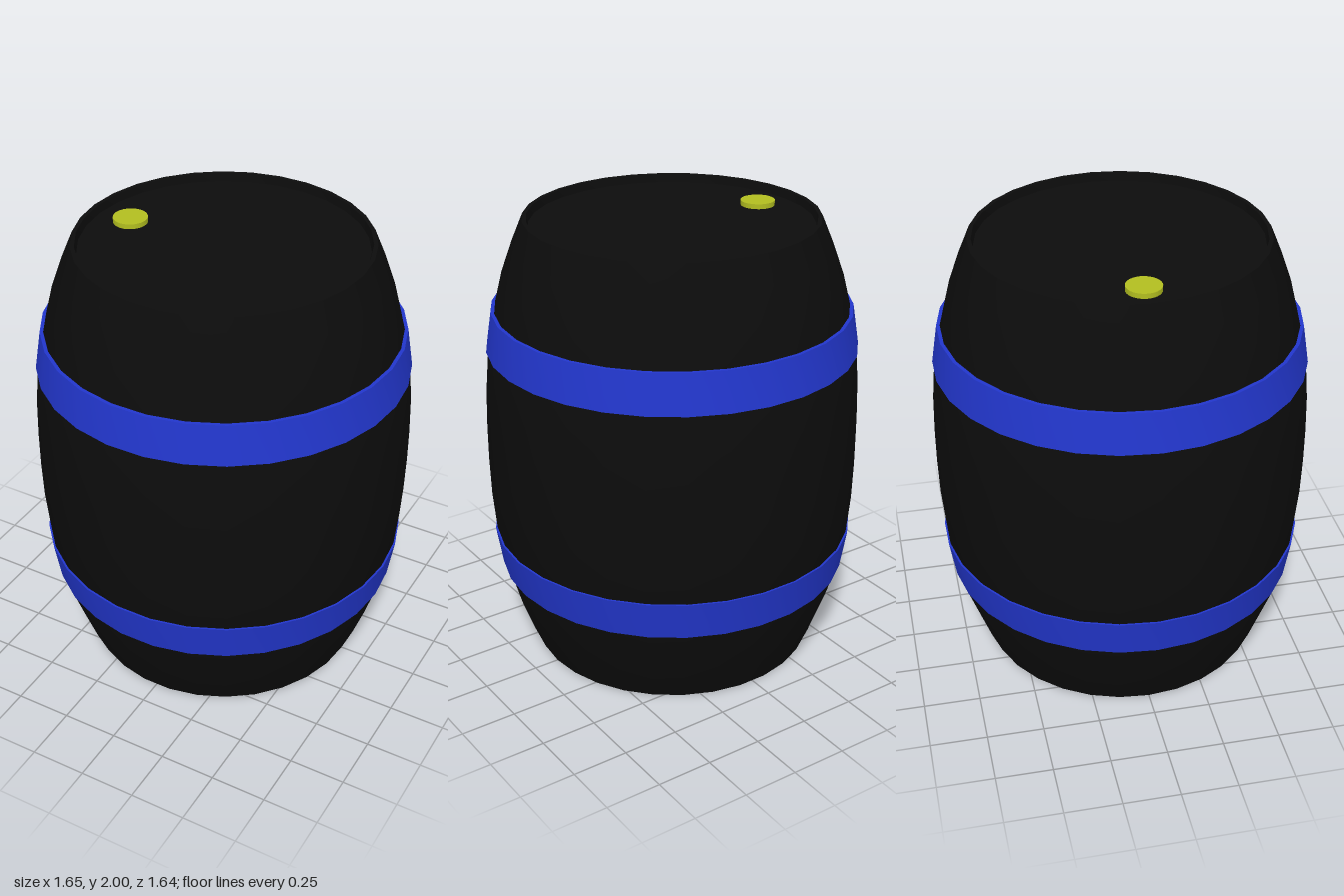
import * as THREE from 'three';
import { toCreasedNormals } from 'three/addons/utils/BufferGeometryUtils.js';

const SIDES = 30;

// Revolves [radius, height] pairs, listed from bottom to top along the outside
function turned(name, profile, color, sides = SIDES) {
  const points = profile.map(([r, y]) => new THREE.Vector2(r, y));
  const geometry = new THREE.LatheGeometry(points, sides, Math.PI / 2);
  const mesh = new THREE.Mesh(
    toCreasedNormals(geometry, 0.5),
    new THREE.MeshStandardMaterial({ color })
  );
  mesh.name = name;
  return mesh;
}

export function createModel() {
  const group = new THREE.Group();
  group.name = 'barrel';
  const black = 0x0c0c0c, blue = 0x2236cc, yellow = 0xb2be20;

  // Bulging body with a thin rim and a recessed head at each end
  const upper = [
    [0.825, 1.08], [0.82, 1.25], [0.805, 1.42], [0.77, 1.6],
    [0.735, 1.74], [0.685, 1.88], [0.635, 2], [0.617, 2], [0.61, 1.965], [0, 1.965],
  ];
  const lower = upper.map(([r, y]) => [r, 2 - y]).reverse();
  group.add(turned('body', [...lower, ...upper], black));

  // Two mirrored hoops, each wider towards the belly
  const hoop = [[0.79, 1.43], [0.812, 1.43], [0.784, 1.605], [0.755, 1.605]];
  group.add(turned('upperHoop', hoop, blue));
  group.add(turned('lowerHoop', hoop.map(([r, y]) => [r, 2 - y]).reverse(), blue));

  // Bung set in the top head
  const bung = turned('bung', [[0, 1.95], [0.075, 1.95], [0.075, 1.987], [0, 1.987]], yellow, 32);
  bung.position.x = -0.455;
  group.add(bung);

  return group;
}
